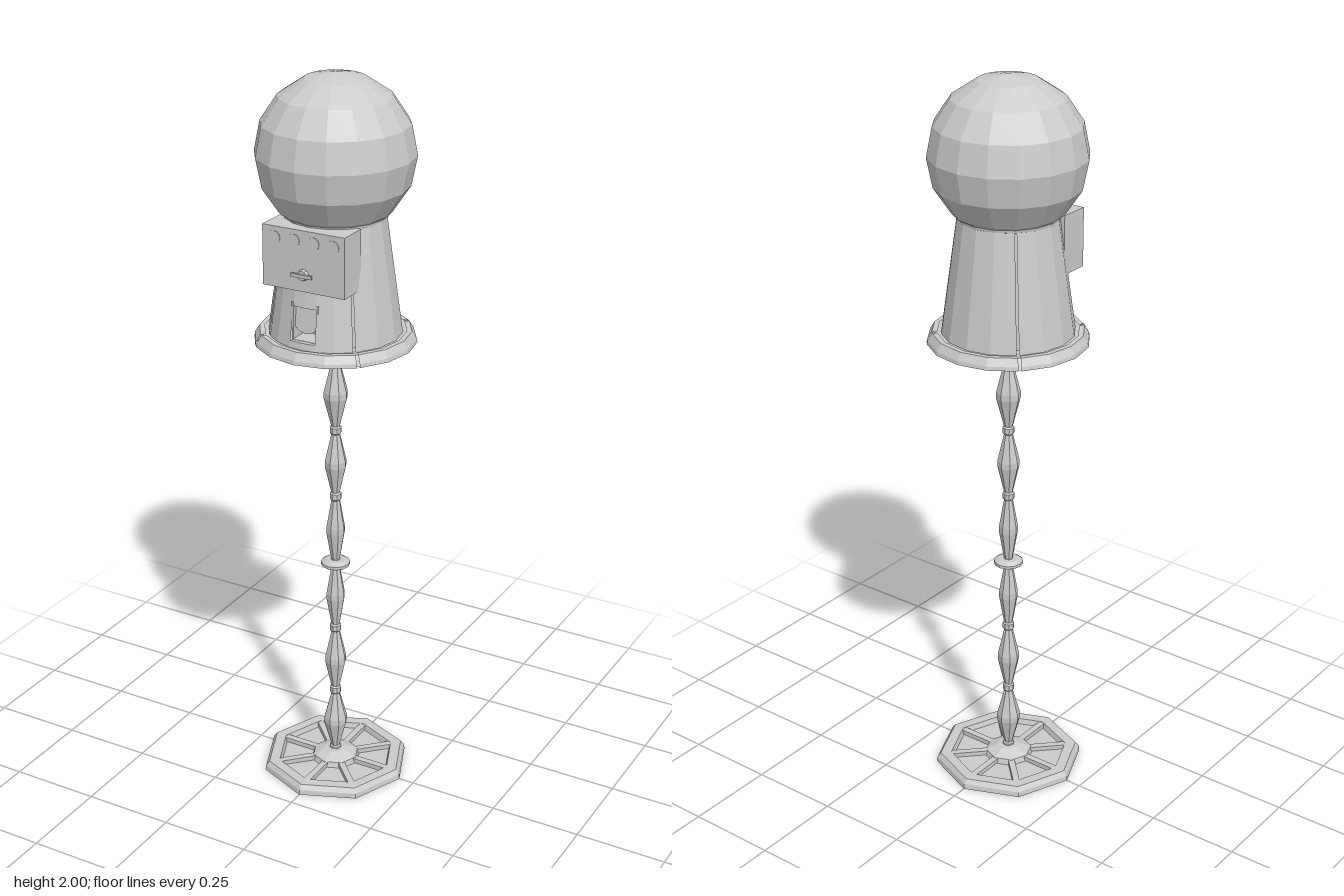
import * as THREE from 'three';

const mat = new THREE.MeshStandardMaterial({ color: 0xcccccc, flatShading: true, side: THREE.DoubleSide });

export function createModel() {
  const model = new THREE.Group();

  const add = (name, geometry, x = 0, y = 0, z = 0, parent = model) => {
    const mesh = new THREE.Mesh(geometry, mat);
    mesh.name = name;
    mesh.position.set(x, y, z);
    parent.add(mesh);
    return mesh;
  };
  // profile is a list of [radius, height], bottom to top; angle 0 is the front
  const lathe = (profile, sides, start = 0, sweep = Math.PI * 2) =>
    new THREE.LatheGeometry(profile.map(([r, y]) => new THREE.Vector2(r, y)), sides, start, sweep);
  const box = (w, h, d) => new THREE.BoxGeometry(w, h, d);
  const group = (name) => {
    const g = new THREE.Group();
    g.name = name;
    model.add(g);
    return g;
  };

  // Octagonal foot: chamfered rim around a sunken floor, with spokes and a hub
  const foot = group('foot');
  add('footPlate', lathe([[0, 0], [0.207, 0], [0.205, 0.014], [0.195, 0.027], [0.165, 0.027],
    [0.16, 0.012], [0, 0.012]], 8), 0, 0, 0, foot);
  for (let i = 0; i < 8; i++) {
    const a = (i * Math.PI) / 4;
    const spoke = add('footSpoke', box(0.018, 0.013, 0.13), Math.sin(a) * 0.105, 0.0195, Math.cos(a) * 0.105, foot);
    spoke.rotation.y = a;
  }
  add('footHub', lathe([[0.07, 0.012], [0.065, 0.027], [0.03, 0.042], [0, 0.044]], 8), 0, 0, 0, foot);

  // Turned pole: six spindles, fattest at the ends, with small rings at the waists
  const waists = [0.04, 0.235, 0.435, 0.637, 0.84, 1.035, 1.24];
  const widths = [0.033, 0.03, 0.026, 0.026, 0.03, 0.033];
  const pole = [];
  widths.forEach((w, i) => {
    const y0 = waists[i], h = waists[i + 1] - y0;
    pole.push([0.016, y0], [0.016, y0 + 0.008], [0.012, y0 + 0.012],
      [w, y0 + h * 0.46], [w, y0 + h * 0.54], [0.012, y0 + h - 0.012], [0.016, y0 + h - 0.008]);
  });
  pole.push([0.016, 1.24]);
  add('pole', lathe(pole, 8));
  add('poleCollar', lathe([[0, 0.626], [0.028, 0.626], [0.04, 0.633], [0.04, 0.641], [0.028, 0.648], [0, 0.648]], 12));

  // Stepped neck under the tray
  add('neck', lathe([[0.014, 1.228], [0.028, 1.235], [0.05, 1.252], [0.055, 1.262], [0.068, 1.265],
    [0.07, 1.275], [0.075, 1.28], [0.075, 1.298]], 8));

  // Tray: whole disc below, four rim quarters with slim joints
  const tray = group('tray');
  add('trayDisc', lathe([[0, 1.295], [0.207, 1.295], [0.192, 1.322], [0, 1.322]], 16), 0, 0, 0, tray);
  const gap = 0.018;
  const quarter = Math.PI / 2 - gap * 2;
  for (let i = 0; i < 4; i++) {
    add('trayRim', lathe([[0.19, 1.295], [0.214, 1.295], [0.212, 1.305], [0.2, 1.325], [0.186, 1.325]],
      4, Math.PI / 4 + (i * Math.PI) / 2 + gap, quarter), 0, 0, 0, tray);
  }

  // Tapered body: plain quarters at the sides and back, over an inner core that shows in the joints
  const body = group('body');
  const radiusAt = (y) => 0.176 - ((y - 1.32) * 0.044) / 0.315;
  const panel = (name, y0, y1, start, sweep, sides) =>
    add(name, lathe([[radiusAt(y0) - 0.014, y0], [radiusAt(y0), y0], [radiusAt(y1), y1],
      [radiusAt(y1) - 0.014, y1]], sides, start, sweep), 0, 0, 0, body);
  for (let i = 0; i < 3; i++) {
    panel('bodyPanel', 1.32, 1.635, Math.PI / 4 + (i * Math.PI) / 2 + gap, quarter, 4);
  }
  add('bodyCore', lathe([[0.145, 1.32], [0.116, 1.635]], 16, Math.PI / 4 - 0.1, Math.PI * 1.5 + 0.2), 0, 0, 0, body);

  // Front quarter, left open in the middle for the chute
  const open = 0.21;
  const side = Math.PI / 4 - gap - open;
  panel('frontPanel', 1.32, 1.635, open, side, 2);
  panel('frontPanel', 1.32, 1.635, -open - side, side, 2);
  panel('chuteLintel', 1.43, 1.635, -open, open * 2, 2);
  panel('chuteSill', 1.32, 1.34, -open, open * 2, 2);

  // Chute lining and its shield-shaped flap
  const chute = group('chute');
  for (const s of [-1, 1]) add('chuteWall', box(0.005, 0.11, 0.06), s * 0.036, 1.385, 0.128, chute);
  add('chuteBack', box(0.072, 0.11, 0.005), 0, 1.385, 0.1, chute);
  add('chuteTop', box(0.072, 0.005, 0.055), 0, 1.433, 0.125, chute);
  add('chuteFloor', box(0.072, 0.008, 0.06), 0, 1.337, 0.13, chute);
  const shield = new THREE.Shape();
  [[-0.032, 0.036], [0.032, 0.036], [0.032, -0.016], [0.018, -0.028], [0, -0.032], [-0.018, -0.028], [-0.032, -0.016]]
    .forEach(([x, y], i) => (i ? shield.lineTo(x, y) : shield.moveTo(x, y)));
  const flap = add('chuteFlap', new THREE.ExtrudeGeometry(shield, { depth: 0.006, bevelEnabled: false }),
    0, 1.39, 0.144, chute);
  flap.rotation.x = -0.12;

  // Coin box with a row of round marks and a turn handle
  const coinBox = group('coinBox');
  add('coinBoxCase', box(0.236, 0.16, 0.084), 0, 1.555, 0.122, coinBox);
  for (const x of [-0.084, -0.028, 0.028, 0.084]) {
    add('roundMark', new THREE.CylinderGeometry(0.018, 0.018, 0.003, 12), x, 1.605, 0.164, coinBox).rotation.x = Math.PI / 2;
  }
  add('handleDial', new THREE.CylinderGeometry(0.013, 0.016, 0.01, 10), 0, 1.52, 0.168, coinBox).rotation.x = Math.PI / 2;
  add('handleBar', box(0.06, 0.009, 0.007), 0, 1.52, 0.175, coinBox);

  // Collar and globe
  add('globeCollar', lathe([[0.125, 1.628], [0.134, 1.632], [0.136, 1.642], [0.12, 1.648]], 16));
  add('globe', new THREE.SphereGeometry(0.207, 16, 8, -Math.PI / 2), 0, 1.793, 0);

  return model;
}
